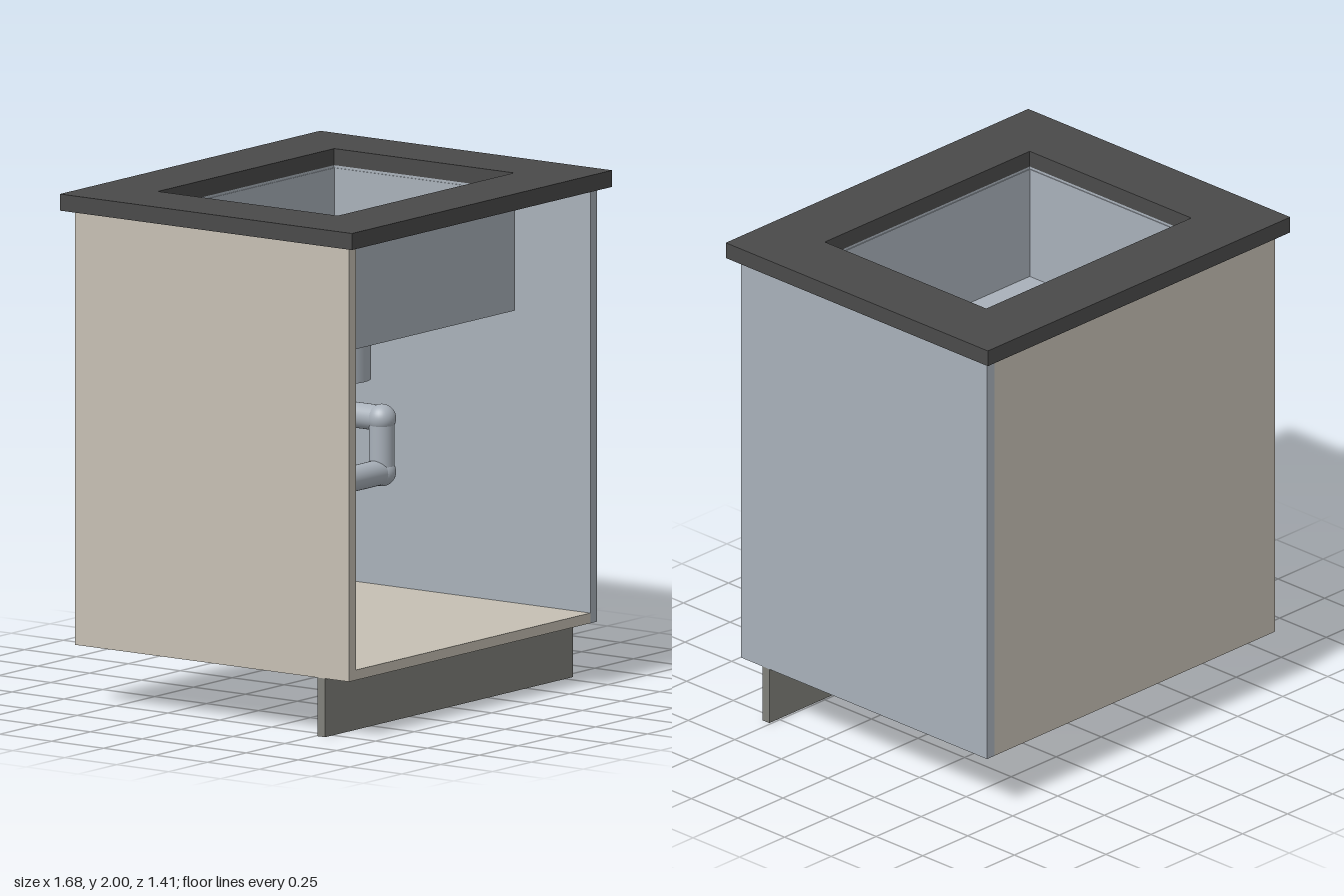
import * as THREE from 'three';

const paint = (name, color) => {
  const m = new THREE.MeshStandardMaterial({ color });
  m.name = name;
  return m;
};

export function createModel() {
  const model = new THREE.Group();
  model.name = 'sinkCabinet';
  const beige = paint('beige board', 0xc6c0b4);
  const steel = paint('blue grey steel', 0xa9b1ba);
  const dark = paint('dark stone', 0x4a4a4a);
  const grey = paint('warm grey', 0x80807a);

  const add = (parent, name, geometry, material, x = 0, y = 0, z = 0) => {
    const mesh = new THREE.Mesh(geometry, material);
    mesh.name = name;
    mesh.position.set(x, y, z);
    parent.add(mesh);
    return mesh;
  };
  // Box given by its limits
  const box = (parent, name, mat, x0, x1, y0, y1, z0, z1) =>
    add(parent, name, new THREE.BoxGeometry(x1 - x0, y1 - y0, z1 - z0), mat,
      (x0 + x1) / 2, (y0 + y1) / 2, (z0 + z1) / 2);
  // Upright cylinder from y0 to y1
  const post = (parent, name, mat, r, y0, y1, x = 0, z = 0) =>
    add(parent, name, new THREE.CylinderGeometry(r, r, y1 - y0, 32), mat, x, (y0 + y1) / 2, z);
  // Horizontal plate with a rectangular opening
  const frame = (parent, name, mat, w, d, hw, hd, y0, y1) => {
    const s = new THREE.Shape([[-w, -d], [w, -d], [w, d], [-w, d]].map(p => new THREE.Vector2(...p)));
    s.holes.push(new THREE.Path([[-hw, -hd], [-hw, hd], [hw, hd], [hw, -hd]].map(p => new THREE.Vector2(...p))));
    const g = new THREE.ExtrudeGeometry(s, { depth: y1 - y0, bevelEnabled: false });
    g.rotateX(-Math.PI / 2);
    return add(parent, name, g, mat, 0, y0, 0);
  };

  // Cabinet body, open at the front
  const cabinet = new THREE.Group();
  cabinet.name = 'cabinet';
  model.add(cabinet);
  box(cabinet, 'rightSidePanel', beige, -0.8, -0.757, 0.23, 1.935, -0.66, 0.66);
  box(cabinet, 'leftSidePanel', steel, 0.757, 0.8, 0.23, 1.935, -0.66, 0.66);
  box(cabinet, 'bottomPanel', beige, -0.757, 0.757, 0.23, 0.27, -0.66, 0.66);
  box(cabinet, 'backPanel', beige, -0.757, 0.757, 0.27, 1.935, -0.66, -0.62);
  box(cabinet, 'toeKick', grey, -0.8, 0.8, 0, 0.23, 0.508, 0.545);

  // Countertop with the sink opening
  frame(model, 'countertop', dark, 0.84, 0.703, 0.569, 0.433, 1.935, 2);

  // Basin with thin walls and a rim under the counter
  const sink = new THREE.Group();
  sink.name = 'sink';
  model.add(sink);
  frame(sink, 'sinkRim', steel, 0.635, 0.5, 0.569, 0.433, 1.925, 1.935);
  frame(sink, 'sinkWalls', steel, 0.572, 0.436, 0.566, 0.43, 1.46, 1.925);
  box(sink, 'sinkFloor', steel, -0.567, 0.567, 1.46, 1.468, -0.431, 0.431);
  post(sink, 'drainRim', dark, 0.105, 1.466, 1.471);
  post(sink, 'drainRing', grey, 0.092, 1.468, 1.474);
  post(sink, 'drainPlug', dark, 0.067, 1.47, 1.477);

  // Overflow on the back wall of the basin
  const overflow = new THREE.Group();
  overflow.name = 'overflow';
  overflow.position.set(0, 1.785, -0.43);
  sink.add(overflow);
  add(overflow, 'overflowCap', new THREE.CylinderGeometry(0.054, 0.054, 0.012, 32), steel, 0, 0, 0.006)
    .rotation.x = Math.PI / 2;
  add(overflow, 'overflowRing', new THREE.RingGeometry(0.024, 0.03, 32), grey, 0, 0, 0.0125);
  box(overflow, 'overflowSlot', dark, -0.024, 0.024, -0.006, 0.006, 0.011, 0.014);

  // Strainer body, pipes and trap
  const plumbing = new THREE.Group();
  plumbing.name = 'plumbing';
  model.add(plumbing);
  const bendX = 0.295, lowY = 0.82, highY = 1.03;
  post(plumbing, 'strainerNeck', steel, 0.135, 1.45, 1.461);
  post(plumbing, 'strainerCollar', steel, 0.157, 1.408, 1.453);
  post(plumbing, 'strainerBody', steel, 0.136, 1.23, 1.408);
  post(plumbing, 'pipeNut', steel, 0.068, 1.14, 1.23);
  post(plumbing, 'dropPipe', steel, 0.05, lowY, 1.14);
  add(plumbing, 'crossPipe', new THREE.CylinderGeometry(0.05, 0.05, bendX, 32), steel, bendX / 2, lowY, 0)
    .rotation.z = Math.PI / 2;
  post(plumbing, 'risePipe', steel, 0.05, lowY, highY, bendX);
  add(plumbing, 'wallPipe', new THREE.CylinderGeometry(0.05, 0.05, 0.62, 32), steel, bendX, highY, -0.31)
    .rotation.x = Math.PI / 2;
  for (const [x, y] of [[0, lowY], [bendX, lowY], [bendX, highY]])
    add(plumbing, 'elbow', new THREE.SphereGeometry(0.056, 32, 20), steel, x, y, 0);
  add(plumbing, 'wallFlange', new THREE.CylinderGeometry(0.092, 0.092, 0.02, 32), dark, bendX, 1.022, -0.61)
    .rotation.x = Math.PI / 2;

  return model;
}
